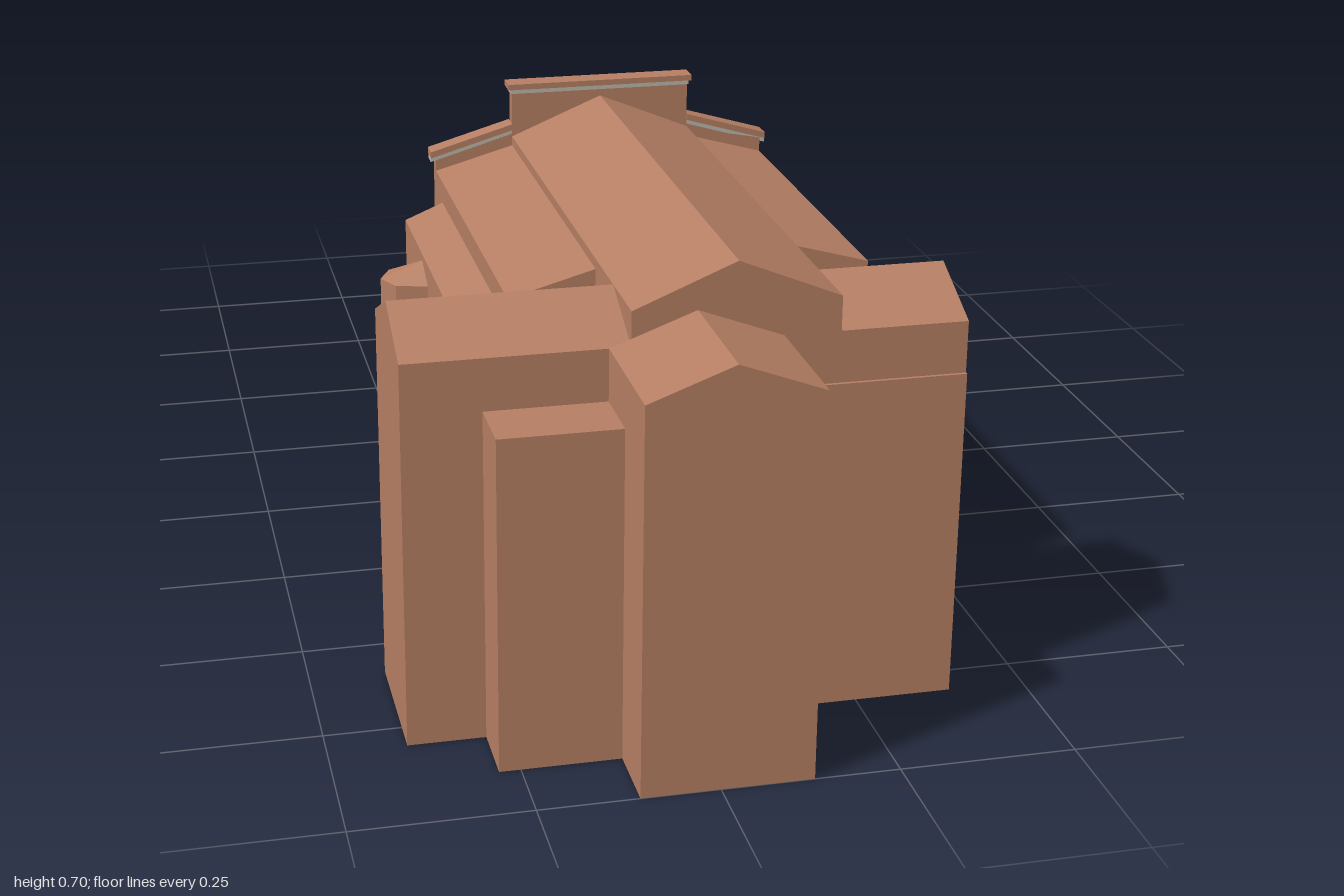
import * as THREE from 'three';

const brick = new THREE.MeshStandardMaterial({ color: 0xb67f64, side: THREE.DoubleSide });
brick.name = 'brick';
const stone = new THREE.MeshStandardMaterial({ color: 0xbcb8ad });
stone.name = 'stone';

const CX = 0.065; // nave axis

const outline = (pts) => new THREE.Shape(pts.map((p) => new THREE.Vector2(p[0], p[1])));

// Extrude an outline from a to b: axis 'z' uses (x, y) points, axis 'x' uses (z, y) points
function prism(shape, axis, a, b) {
  const g = new THREE.ExtrudeGeometry(shape, { depth: b - a, bevelEnabled: false, curveSegments: 16 });
  if (axis === 'x') g.rotateY(-Math.PI / 2).translate(b, 0, 0);
  else g.translate(0, 0, a);
  return g;
}

// Remove the faces lying on the ground, leaving a hollow shell
function openBottom(g) {
  const p = g.attributes.position, keep = [];
  for (let i = 0; i < p.count; i += 3) {
    if (Math.max(p.getY(i), p.getY(i + 1), p.getY(i + 2)) > 1e-4) keep.push(i, i + 1, i + 2);
  }
  g.setIndex(keep);
  return g;
}

const block = (x0, x1, y0, y1, z0, z1) =>
  new THREE.BoxGeometry(x1 - x0, y1 - y0, z1 - z0).translate((x0 + x1) / 2, (y0 + y1) / 2, (z0 + z1) / 2);

// Wall outline with a gable on top
const gable = (a, b, eave, ridge) => outline([[a, 0], [b, 0], [b, eave], [(a + b) / 2, ridge], [a, eave]]);

// Wall outline with different heights at its two ends
const leanTo = (a, b, ya, yb) => outline([[a, 0], [b, 0], [b, yb], [a, ya]]);

export function createModel() {
  const model = new THREE.Group();
  const add = (name, geo, mat = brick, parent = model) => {
    const m = new THREE.Mesh(geo, mat);
    m.name = name;
    parent.add(m);
    return m;
  };
  const shell = (name, shape, axis, a, b) => add(name, openBottom(prism(shape, axis, a, b)));

  // Nave, transept arms and chancel
  shell('nave', gable(-0.08, 0.21, 0.61, 0.67), 'z', -0.035, 0.8);
  shell('rightTransept', gable(0.585, 0.8, 0.56, 0.61), 'x', -0.39, -0.08);
  shell('leftTransept', gable(0.585, 0.8, 0.56, 0.61), 'x', 0.21, 0.39);
  shell('chancel', gable(-0.11, 0.13, 0.56, 0.605), 'z', 0.8, 1);
  shell('sacristy', leanTo(-0.28, -0.11, 0.485, 0.485), 'z', 0.8, 0.895);
  shell('transeptPlinth', leanTo(0.13, 0.39, 0.485, 0.485), 'z', 0.8, 0.805);

  // Aisles and the lower chapels against them
  shell('rightAisle', leanTo(-0.205, -0.08, 0.56, 0.595), 'z', -0.035, 0.585);
  shell('leftAisle', leanTo(0.21, 0.335, 0.595, 0.56), 'z', -0.035, 0.535);
  shell('rightChapel', leanTo(-0.265, -0.205, 0.5, 0.525), 'z', 0.03, 0.585);
  shell('leftChapel', leanTo(0.335, 0.37, 0.5, 0.515), 'z', -0.015, 0.53);

  // Small polygonal apse with a faceted roof
  const rim = [[-0.265, 0.15], [-0.312, 0.162], [-0.33, 0.2], [-0.312, 0.238], [-0.265, 0.25]];
  const apsePos = [];
  for (let i = 0; i < rim.length - 1; i++) {
    const [x0, z0] = rim[i], [x1, z1] = rim[i + 1], h = 0.465;
    apsePos.push(x0, 0, z0, x1, 0, z1, x1, h, z1, x0, 0, z0, x1, h, z1, x0, h, z0);
    apsePos.push(x0, h, z0, x1, h, z1, -0.265, 0.49, 0.2);
  }
  const apse = new THREE.BufferGeometry();
  apse.setAttribute('position', new THREE.Float32BufferAttribute(apsePos, 3));
  apse.computeVertexNormals();
  add('apse', apse);

  // Facade wall with raised centre
  const facade = new THREE.Group();
  facade.name = 'facade';
  model.add(facade);
  const half = [[0.27, 0], [0.27, 0.588], [0.145, 0.625], [0.145, 0.685]];
  const wall = outline([
    ...half.map(([x, y]) => [CX + x, y]),
    ...half.slice().reverse().map(([x, y]) => [CX - x, y]),
  ]);
  add('facadeWall', openBottom(prism(wall, 'z', -0.05, -0.03)), brick, facade);
  add('topCornice', block(CX - 0.151, CX + 0.151, 0.688, 0.697, -0.06, -0.025), brick, facade);
  add('topMoulding', block(CX - 0.147, CX + 0.147, 0.681, 0.688, -0.056, -0.028), stone, facade);

  // Mirrored facade trim: sloping cornices, string courses, round windows
  for (const s of [-1, 1]) {
    const slope = (lo, hi) => {
      const p = [[0.145, 0.631 - lo], [0.278, 0.592 - lo], [0.278, 0.592 - hi], [0.145, 0.631 - hi]];
      return outline(p.map(([x, y]) => [CX + s * x, y]));
    };
    add('slopingCornice', prism(slope(0, 0.01), 'z', -0.059, -0.027), brick, facade);
    add('slopingMoulding', prism(slope(0.01, 0.017), 'z', -0.055, -0.03), stone, facade);
    const xs = [CX + s * 0.19, CX + s * 0.274].sort((a, b) => a - b);
    add('stringCourse', block(xs[0], xs[1], 0.298, 0.306, -0.055, -0.03), stone, facade);
  }
  const disc = (name, x, y, r) =>
    add(name, new THREE.CylinderGeometry(r, r, 0.006, 24).rotateX(Math.PI / 2).translate(x, y, -0.052), stone, facade);
  disc('roundWindow', CX - 0.197, 0.44, 0.024);
  disc('roundWindow', CX + 0.197, 0.44, 0.024);
  disc('pedimentWindow', CX, 0.658, 0.015);
  disc('nicheDisc', CX, 0.525, 0.012);

  // Niche frame
  const rect = (w, y0, y1) => [[CX - w, y0], [CX + w, y0], [CX + w, y1], [CX - w, y1]];
  const niche = outline(rect(0.022, 0.49, 0.56));
  niche.holes.push(outline(rect(0.017, 0.495, 0.555)));
  add('nicheFrame', prism(niche, 'z', -0.055, -0.049), stone, facade);

  // Arched doorway: frame, lintel and door leaf
  const arch = (Type, r) => {
    const a = new Type();
    a.moveTo(CX - r, 0.31);
    a.lineTo(CX + r, 0.31);
    a.lineTo(CX + r, 0.385);
    a.absarc(CX, 0.385, r, 0, Math.PI, false);
    a.closePath();
    return a;
  };
  const frame = arch(THREE.Shape, 0.05);
  frame.holes.push(arch(THREE.Path, 0.036));
  add('doorFrame', prism(frame, 'z', -0.057, -0.049), stone, facade);
  add('doorLeaf', block(CX - 0.036, CX + 0.036, 0.31, 0.385, -0.053, -0.049), stone, facade);

  // Long staircase with a landing
  const steps = 30, zTop = -0.15, run = (1 + zTop) / steps, rise = 0.27 / steps;
  const profile = [[-0.05, 0], [-0.05, 0.312], [zTop, 0.312]];
  for (let i = 1; i <= steps; i++) {
    const z = zTop - (i - 1) * run, y = 0.312 - i * rise;
    profile.push([z, y], [z - run, y]);
  }
  profile.push([-1, 0]);
  add('staircase', prism(outline(profile), 'x', CX - 0.178, CX + 0.178), stone);

  // Side walls of the staircase
  const parapet = outline([[-0.05, 0], [-0.05, 0.325], [-0.135, 0.325], [-1, 0.047], [-1, 0]]);
  add('stairWall', prism(parapet, 'x', CX - 0.189, CX - 0.177));
  add('stairWall', prism(parapet, 'x', CX + 0.177, CX + 0.189));

  return model;
}
